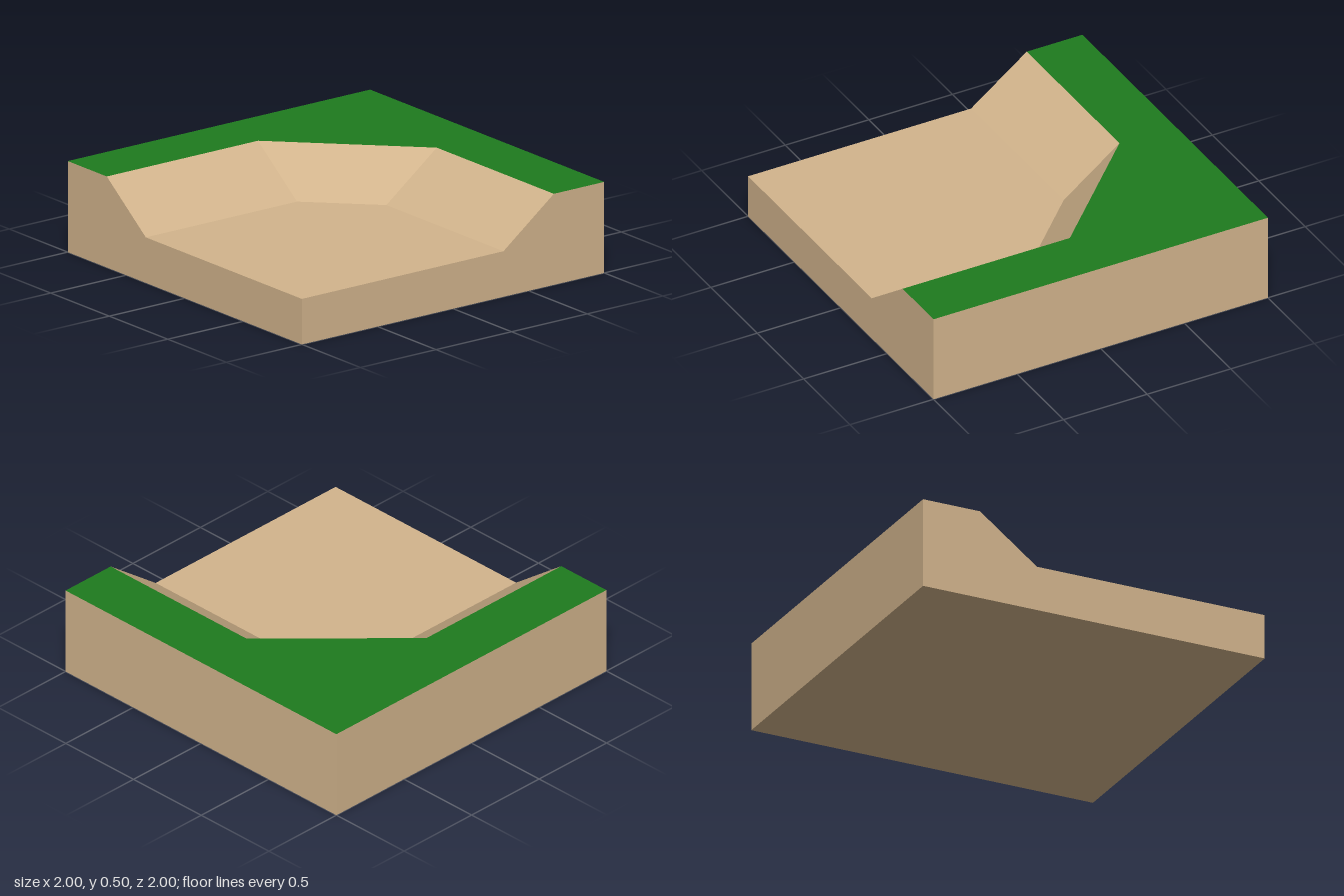
import * as THREE from 'three';

const H = 0.5, FLOOR = 0.25, A = 2 / 3, B = 1 / 3;

const earth = new THREE.MeshStandardMaterial({ color: 0xd2b48c, flatShading: true });
const grass = new THREE.MeshStandardMaterial({ color: 0x1e7b1e, flatShading: true });

// Flat faces, each a fan around its first corner, counter-clockwise from outside
function faces(name, material, polygons) {
  const positions = [];
  for (const p of polygons) {
    for (let i = 1; i < p.length - 1; i++) positions.push(...p[0], ...p[i], ...p[i + 1]);
  }
  const geometry = new THREE.BufferGeometry();
  geometry.setAttribute('position', new THREE.Float32BufferAttribute(positions, 3));
  geometry.computeVertexNormals();
  const mesh = new THREE.Mesh(geometry, material);
  mesh.name = name;
  return mesh;
}

// Bend line of the bank: down the left, across the chamfer, along the back
const bend = (r, y) => [[-r, y, 1], [-r, y, 0], [0, y, -r], [1, y, -r]];

export function createModel() {
  const group = new THREE.Group();
  group.name = 'cornerTerrainTile';
  const rim = bend(A, H), foot = bend(B, FLOOR);

  // L-shaped grass on the high ground
  group.add(faces('grassTop', grass, [[[-1, H, -1], [-1, H, 1], ...rim, [1, H, -1]]]));

  // Sunken floor
  group.add(faces('lowerFloor', earth, [[[1, FLOOR, 1], ...[...foot].reverse()]]));

  // Three sloping faces between rim and floor
  group.add(faces('slopes', earth,
    [0, 1, 2].map((i) => [rim[i], foot[i], foot[i + 1], rim[i + 1]])));

  // Outer walls and underside
  group.add(faces('outerWalls', earth, [
    [[-1, 0, 1], [1, 0, 1], [1, FLOOR, 1], foot[0], rim[0], [-1, H, 1]],
    [[1, 0, -1], [1, H, -1], rim[3], foot[3], [1, FLOOR, 1], [1, 0, 1]],
    [[1, 0, -1], [-1, 0, -1], [-1, H, -1], [1, H, -1]],
    [[-1, 0, -1], [-1, 0, 1], [-1, H, 1], [-1, H, -1]],
  ]));
  group.add(faces('underside', earth, [[[-1, 0, -1], [1, 0, -1], [1, 0, 1], [-1, 0, 1]]]));

  return group;
}
